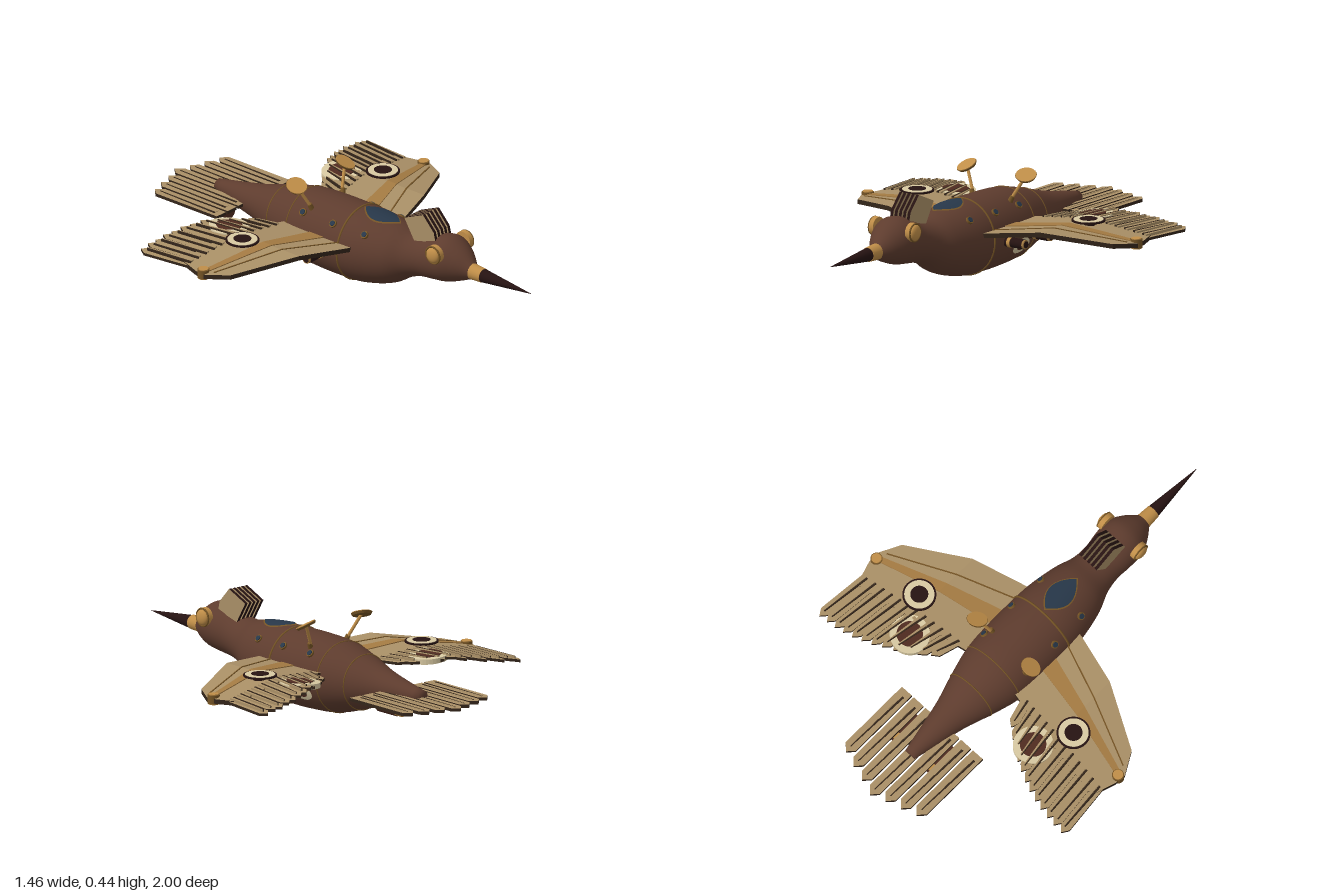
import * as THREE from 'three';

const mat = (name, color) => Object.assign(new THREE.MeshStandardMaterial({ color }), { name });
const M = {
  body: mat('hull brown', 0x5e3c2e),
  beak: mat('beak dark', 0x261312),
  brass: mat('brass', 0xc08e48),
  tan: mat('feather tan', 0xa98f66),
  edge: mat('feather edge', 0x33251a),
  cream: mat('cream', 0xd8c9a2),
  spar: mat('spar bronze', 0xa37a42),
  seam: mat('seam bronze', 0x755425),
  glass: mat('window blue', 0x273749),
  engine: mat('engine brown', 0x4f2b20),
};

export function createModel() {
  const root = new THREE.Group();
  root.name = 'mechanicalBird';
  const add = (name, geo, material) => {
    const m = new THREE.Mesh(geo, material);
    m.name = name;
    root.add(m);
    return m;
  };

  // Hull: z, top, bottom of the round cross-sections
  const profile = [
    [-0.755, 0.212, 0.158], [-0.6, 0.24, 0.12], [-0.5, 0.262, 0.098], [-0.37, 0.3, 0.055],
    [-0.24, 0.33, 0.02], [-0.12, 0.338, 0.01], [0, 0.338, 0.007], [0.13, 0.335, 0.015],
    [0.27, 0.322, 0.056], [0.35, 0.311, 0.105], [0.42, 0.32, 0.13], [0.49, 0.344, 0.14],
    [0.56, 0.354, 0.15], [0.62, 0.32, 0.17], [0.675, 0.262, 0.193],
  ];
  const hull = new THREE.CatmullRomCurve3(profile.map(([z, t, b]) =>
    new THREE.Vector3((t - b) / 2, z, (t + b) / 2))).getPoints(70);
  const bodyAt = (z) => {
    let i = 1;
    while (i < hull.length - 1 && hull[i].y < z) i++;
    const a = hull[i - 1], b = hull[i];
    const k = THREE.MathUtils.clamp((z - a.y) / (b.y - a.y), 0, 1);
    return { r: a.x + (b.x - a.x) * k, c: a.z + (b.z - a.z) * k };
  };
  const outline = [new THREE.Vector2(0, hull[0].y), ...hull.map((p) => new THREE.Vector2(p.x, p.y))];
  const bodyGeo = new THREE.LatheGeometry(outline, 40).rotateX(Math.PI / 2);
  const bp = bodyGeo.attributes.position;
  for (let i = 0; i < bp.count; i++) bp.setY(i, bp.getY(i) + bodyAt(bp.getZ(i)).c);
  add('body', bodyGeo, M.body);

  // Point on the hull, angle measured from the top towards +x
  const onBody = (z, a, lift = 0) => {
    const { r, c } = bodyAt(z);
    return new THREE.Vector3((r + lift) * Math.sin(a), c + (r + lift) * Math.cos(a), z);
  };
  // Oval patch wrapped on the hull
  const patch = (name, z0, a0, hz, hw, lift, material, pointed = false) => {
    const g = new THREE.RingGeometry(0.001, 1, 32, 6);
    const p = g.attributes.position;
    for (let i = 0; i < p.count; i++) {
      const u = p.getX(i);
      const v = p.getY(i) * (pointed ? Math.sqrt(Math.max(0, 1 - u * u)) : 1);
      const q = onBody(z0 + u * hz, a0 + v * hw / bodyAt(z0).r, lift);
      p.setXYZ(i, q.x, q.y, q.z);
    }
    g.computeVertexNormals();
    add(name, g, material);
  };
  patch('windowFrame', 0.17, 0, 0.103, 0.06, 0.003, M.seam, true);
  patch('dorsalWindow', 0.17, 0, 0.095, 0.054, 0.006, M.glass, true);

  // Hull seams
  for (const [z, tube] of [[0.055, 0.005], [-0.245, 0.003], [-0.38, 0.003]]) {
    const { r, c } = bodyAt(z);
    add('hullSeam', new THREE.TorusGeometry(r, tube, 6, 48), M.seam).position.set(0, c, z);
  }

  // Cylinder from one point to another
  const rod = (name, a, b, r0, r1, material, seg = 20) => {
    const d = b.clone().sub(a);
    const m = add(name, new THREE.CylinderGeometry(r1, r0, d.length(), seg), material);
    m.position.copy(a).addScaledVector(d, 0.5);
    m.quaternion.setFromUnitVectors(new THREE.Vector3(0, 1, 0), d.normalize());
  };
  const V = (x, y, z) => new THREE.Vector3(x, y, z);

  // Beak and collar
  rod('beakCollar', V(0, 0.228, 0.66), V(0, 0.226, 0.735), 0.036, 0.031, M.brass);
  rod('beak', V(0, 0.226, 0.73), V(0, 0.225, 1), 0.03, 0.001, M.beak);

  // Flat plate from [x, z] points, with dark rims and an optional bend over x
  const plate = (name, pts, y, h, bend, mats = [M.tan, M.edge]) => {
    const shape = new THREE.Shape(pts.map(([x, z]) => new THREE.Vector2(x, -z)));
    const g = new THREE.ExtrudeGeometry(shape, { depth: h, bevelEnabled: false }).rotateX(-Math.PI / 2);
    const p = g.attributes.position;
    for (let i = 0; i < p.count; i++) p.setY(i, p.getY(i) + y + bend(Math.abs(p.getX(i))));
    g.computeVertexNormals();
    add(name, g, mats);
  };
  const flat = () => 0;
  const wingY = (x) => (x < 0.4 ? 0.2 + (x - 0.15) * 0.1 : 0.225 - (x - 0.4) * 0.15);
  // Pointed feather from base to tip, with a slanting dark quill and a raised shaft
  const feather = (name, b, t, w, y, h, bend, ridge) => {
    const L = Math.hypot(t[0] - b[0], t[1] - b[1]);
    const d = [(t[0] - b[0]) / L, (t[1] - b[1]) / L];
    const at = (k, o) => [b[0] + d[0] * k - d[1] * o, b[1] + d[1] * k + d[0] * o];
    plate(name, [at(0, -w / 2), at(L - 0.03, -w / 2), at(L, 0), at(L - 0.03, w / 2), at(0, w / 2)], y, h, bend);
    plate(name + 'Quill', [at(0.03, -w * 0.22), at(L - 0.03, -0.001), at(L - 0.03, 0.003), at(0.03, -w * 0.05)],
      y + h, ridge, bend, M.edge);
    plate(name + 'Shaft', [at(0.03, 0), at(L - 0.03, 0.003), at(L - 0.03, 0.007), at(0.03, w * 0.25)],
      y + h, ridge, bend, M.tan);
  };

  // Tail fan
  for (let i = -3; i <= 3; i++) {
    const tip = [-1, -0.975, -0.955, -0.93][Math.abs(i)];
    feather('tailFeather', [i * 0.069, -0.556], [i * 0.069, tip], 0.058, 0.168, 0.014, flat, 0.002);
  }

  // Head crest of upright fins
  const crest = new THREE.Shape([[0.51, 0.33], [0.5, 0.37], [0.44, 0.435], [0.335, 0.39], [0.39, 0.3]]
    .map(([z, y]) => new THREE.Vector2(z, y)));
  for (let i = -2; i <= 2; i++) {
    const g = new THREE.ExtrudeGeometry(crest, { depth: 0.014, bevelEnabled: false }).rotateY(-Math.PI / 2);
    add('crestFin', g, [M.tan, M.beak]).position.x = i * 0.022 + 0.007;
  }

  for (const s of [1, -1]) {
    const side = (pts) => pts.map(([x, z]) => [x * s, z]);

    // Wing panels, spar and ribs
    plate('innerWing', side([[0.13, 0.13], [0.17, 0.12], [0.4, 0.05], [0.4, -0.32], [0.14, -0.26]]), 0, 0.02, wingY);
    plate('outerWing', side([[0.4, 0.05], [0.67, -0.1], [0.725, -0.2], [0.72, -0.25], [0.685, -0.36], [0.4, -0.32]]), 0, 0.02, wingY);
    const sparIn = [[0.14, -0.02], [0.4, -0.105], [0.4, -0.155], [0.14, -0.1]];
    const sparOut = [[0.4, -0.105], [0.7, -0.2], [0.7, -0.225], [0.4, -0.155]];
    for (const pts of [sparIn, sparOut]) plate('wingSpar', side(pts), -0.003, 0.027, wingY, M.spar);
    plate('wingRib', side([[0.15, 0.055], [0.4, -0.045], [0.4, -0.051], [0.15, 0.049]]), 0.02, 0.003, wingY, M.seam);
    plate('wingRib', side([[0.4, -0.045], [0.69, -0.17], [0.69, -0.176], [0.4, -0.051]]), 0.02, 0.003, wingY, M.seam);
    rod('wingTipRim', V(s * 0.705, 0.172, -0.22), V(s * 0.705, 0.21, -0.22), 0.026, 0.026, M.seam);
    rod('wingTipKnob', V(s * 0.705, 0.168, -0.22), V(s * 0.705, 0.214, -0.22), 0.022, 0.022, M.brass);

    // Trailing feathers in two overlapping layers, quills level on top
    for (let i = 0; i < 12; i++) {
      const t = i / 11;
      const base = [s * (0.19 + 0.485 * t), -0.22 - 0.06 * t];
      const tip = [s * (0.235 + 0.47 * t), -0.57 + 0.19 * Math.pow(1 - t, 2.2)];
      const y = i % 2 ? 0.004 : 0.008;
      feather('wingFeather', base, tip, 0.046, y, 0.012, wingY, 0.015 - y);
    }

    // Raised roundel on top of the wing
    const disc = (name, r, y0, y1, m) => rod(name, V(s * 0.45, y0, -0.225), V(s * 0.45, y1, -0.225), r, r, m, 36);
    disc('roundelHub', 0.03, 0.22, 0.252, M.beak);
    disc('roundelRim', 0.072, 0.25, 0.257, M.beak);
    disc('roundelRing', 0.064, 0.252, 0.259, M.cream);
    disc('roundelCentre', 0.038, 0.254, 0.261, M.beak);

    // Second roundel let into the feathers, crossed by their quills
    const circle = (r) => Array.from({ length: 36 }, (_, i) => {
      const a = i / 36 * Math.PI * 2;
      return [s * (0.36 + r * Math.cos(a)), -0.378 + r * Math.sin(a)];
    });
    plate('lowerRoundelRing', circle(0.086), 0, 0.0225, wingY, M.cream);
    plate('lowerRoundelCentre', circle(0.056), -0.002, 0.027, wingY, M.engine);

    // Roundel on the flank
    patch('flankRoundel', -0.15, s * 1.95, 0.06, 0.036, 0.003, M.cream);
    patch('flankRoundelCentre', -0.15, s * 1.95, 0.033, 0.019, 0.005, M.engine);

    // Eyes: brass disc, thin bronze rim and brass dome
    rod('eyeDisc', V(s * 0.084, 0.3, 0.545), V(s * 0.108, 0.3, 0.545), 0.041, 0.041, M.brass, 28);
    const rim = add('eyeRim', new THREE.TorusGeometry(0.038, 0.004, 8, 32), M.seam);
    rim.rotation.y = Math.PI / 2;
    rim.position.set(s * 0.108, 0.3, 0.545);
    const dome = add('eye', new THREE.SphereGeometry(0.034, 24, 16), M.brass);
    dome.scale.x = 0.5;
    dome.position.set(s * 0.108, 0.3, 0.545);

    // Portholes along the shoulder
    for (const z of [0.17, 0, -0.17]) {
      rod('portholeRim', onBody(z, s * 0.85, -0.01), onBody(z, s * 0.85, 0.007), 0.018, 0.017, M.seam);
      rod('porthole', onBody(z, s * 0.85, -0.01), onBody(z, s * 0.85, 0.01), 0.012, 0.012, M.glass);
    }

    // Side thrusters
    for (const z of [-0.03, -0.21]) {
      const seg = (name, x0, x1, r, m) => rod(name, V(s * x0, 0.157, z), V(s * x1, 0.157, z), r, r, m);
      seg('thruster', 0.13, 0.255, 0.021, M.beak);
      seg('thrusterBand', 0.178, 0.194, 0.023, M.brass);
      seg('thrusterNozzle', 0.245, 0.265, 0.02, M.spar);
      seg('thrusterBore', 0.255, 0.267, 0.015, M.beak);
    }

    // Tail engines
    const tail = (name, z0, z1, r, m) => rod(name, V(s * 0.1, 0.14, z0), V(s * 0.1, 0.14, z1), r, r, m, 24);
    tail('tailEngine', -0.6, -0.71, 0.031, M.engine);
    tail('tailEngineNozzle', -0.695, -0.742, 0.028, M.brass);
    tail('tailEngineBore', -0.7, -0.745, 0.018, M.engine);

    // Tilted dishes on masts, with bronze backs
    const top = V(s * 0.155, 0.412, -0.18), n = V(s * 0.22, 0.9, 0.42).normalize();
    const along = (k) => top.clone().addScaledVector(n, k);
    rod('mastFoot', V(s * 0.09, 0.28, -0.14), V(s * 0.108, 0.322, -0.148), 0.014, 0.01, M.seam);
    rod('dishMast', V(s * 0.095, 0.3, -0.145), top, 0.007, 0.007, M.brass, 10);
    rod('dishBack', along(-0.006), along(0.004), 0.04, 0.046, M.seam, 32);
    rod('dish', along(0.002), along(0.007), 0.044, 0.044, M.brass, 32);
  }
  return root;
}
